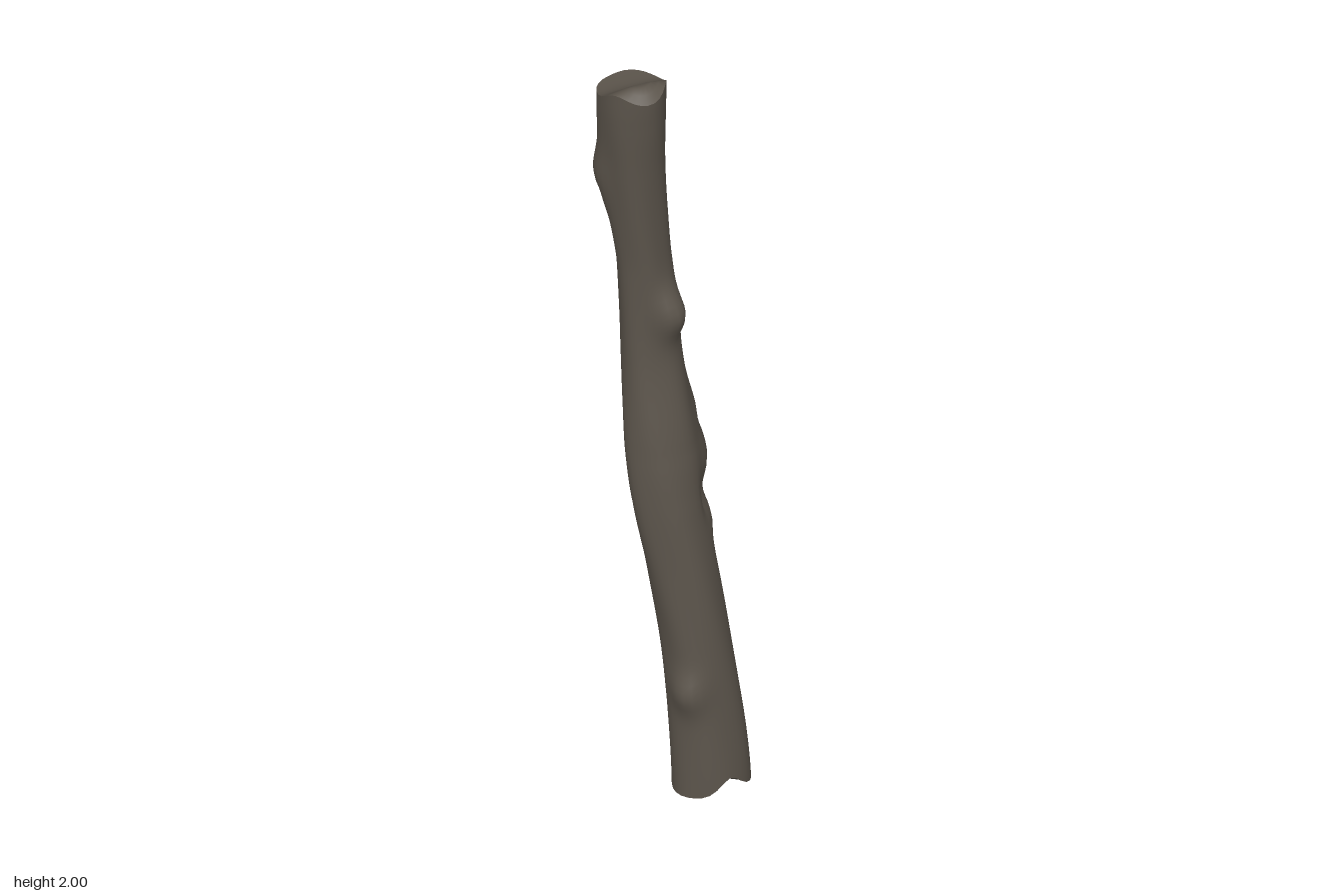
import * as THREE from 'three';

const SIDES = 32, ROWS = 110, CAP_RINGS = 5;

// Outline of the trunk: height, xMin, xMax, zMin, zMax
const stations = [
  [0.00, -0.030, 0.156, -0.020, 0.158],
  [0.20, -0.035, 0.143, -0.022, 0.143],
  [0.40, -0.045, 0.120, -0.030, 0.125],
  [0.60, -0.070, 0.095, -0.045, 0.103],
  [0.80, -0.099, 0.066, -0.065, 0.080],
  [0.95, -0.108, 0.056, -0.090, 0.058],
  [1.20, -0.105, 0.038, -0.122, 0.015],
  [1.45, -0.112, 0.016, -0.133, 0.004],
  [1.60, -0.130, 0.008, -0.136, 0.003],
  [1.75, -0.146, 0.004, -0.141, 0.010],
  [1.90, -0.157, 0.003, -0.145, 0.024],
  [2.00, -0.157, 0.001, -0.147, 0.032],
];

// Knots and gouges: height, direction (degrees from +x towards +z), depth, half height, half angle
const knots = [
  [0.93, -44, 0.052, 0.10, 48],
  [1.06, -30, 0.018, 0.09, 35],
  [1.03, -66, 0.016, 0.04, 22],
  [0.86, -10, 0.018, 0.05, 22],
  [0.73, -15, 0.022, 0.06, 28],
  [0.80, 14, -0.014, 0.06, 14],
  [0.97, -28, -0.012, 0.03, 20],
  [0.65, -68, 0.022, 0.06, 28],
  [0.54, -72, 0.010, 0.05, 24],
  [1.33, 62, 0.042, 0.065, 30],
  [1.70, -135, 0.026, 0.08, 42],
  [1.60, -118, 0.016, 0.04, 25],
  [1.78, -105, 0.010, 0.03, 22],
  [1.66, -140, -0.012, 0.025, 14],
  [0.30, 135, 0.022, 0.05, 28],
];

const bell = (d, w) => Math.exp(-((d / w) ** 2));

// Smooth interpolation of the trunk outline
const curves = [1, 2, 3, 4].map((c) =>
  new THREE.SplineCurve(stations.map((s) => new THREE.Vector2(s[0], s[c]))));
function outline(y) {
  const last = stations.length - 1;
  const h = THREE.MathUtils.clamp(y, 0, 2);
  let i = 0;
  while (i < last - 1 && stations[i + 1][0] < h) i++;
  const f = (h - stations[i][0]) / (stations[i + 1][0] - stations[i][0]);
  return curves.map((c) => c.getPoint((i + f) / last).y);
}

// Point on the bark; s shrinks it towards the core for the end faces
function barkPoint(angle, y, s = 1) {
  const [x0, x1, z0, z1] = outline(y);
  let bump = 0.002 * Math.sin(3 * angle + 5 * y) + 0.0015 * Math.sin(5 * angle - 9 * y);
  for (const [ky, deg, depth, hy, ha] of knots) {
    let d = angle - THREE.MathUtils.degToRad(deg);
    d = Math.atan2(Math.sin(d), Math.cos(d));
    bump += depth * bell(y - ky, hy) * bell(d, THREE.MathUtils.degToRad(ha));
  }
  const c = Math.cos(angle), n = Math.sin(angle);
  return [
    (x0 + x1) / 2 + s * c * ((x1 - x0) / 2 + bump), y,
    (z0 + z1) / 2 + s * n * ((z1 - z0) / 2 + bump),
  ];
}

// Broken end surfaces, in unit coordinates across the end
const topY = (u, v) => 1.948 + 0.052 * bell(v - 0.55, 0.5) * (1 - 0.25 * u * u);
const bottomY = (u, v) => 0.008 * (1 + v * 0.5 - u * u * 0.5) + 0.046 * bell(v - 1, 0.5) * bell(u - 0.2, 0.45);

// Grid of rings joined into a surface
function ringSurface(rows, point) {
  const pos = [], index = [];
  for (let r = 0; r <= rows; r++) {
    for (let i = 0; i < SIDES; i++) pos.push(...point(r / rows, (i / SIDES) * Math.PI * 2));
  }
  for (let r = 0; r < rows; r++) {
    for (let i = 0; i < SIDES; i++) {
      const a = r * SIDES + i, b = r * SIDES + ((i + 1) % SIDES);
      index.push(a, a + SIDES, b, b, a + SIDES, b + SIDES);
    }
  }
  const g = new THREE.BufferGeometry();
  g.setAttribute('position', new THREE.Float32BufferAttribute(pos, 3));
  g.setIndex(index);
  g.computeVertexNormals();
  return g;
}

export function createModel() {
  const group = new THREE.Group();
  group.name = 'stick';
  const bark = new THREE.MeshStandardMaterial({ color: 0x5b544b });
  bark.name = 'dark bark';

  const add = (name, geometry) => {
    const mesh = new THREE.Mesh(geometry, bark);
    mesh.name = name;
    group.add(mesh);
  };

  // Trunk between the two broken ends
  add('trunk', ringSurface(ROWS, (t, a) => {
    const u = Math.cos(a), v = Math.sin(a);
    return barkPoint(a, THREE.MathUtils.lerp(bottomY(u, v), topY(u, v), t));
  }));

  // Broken ends, running rim to core on top and core to rim underneath
  add('topEnd', ringSurface(CAP_RINGS, (t, a) => {
    const s = 1 - t;
    return barkPoint(a, topY(s * Math.cos(a), s * Math.sin(a)), s);
  }));
  add('bottomEnd', ringSurface(CAP_RINGS, (t, a) =>
    barkPoint(a, bottomY(t * Math.cos(a), t * Math.sin(a)), t)));

  return group;
}
